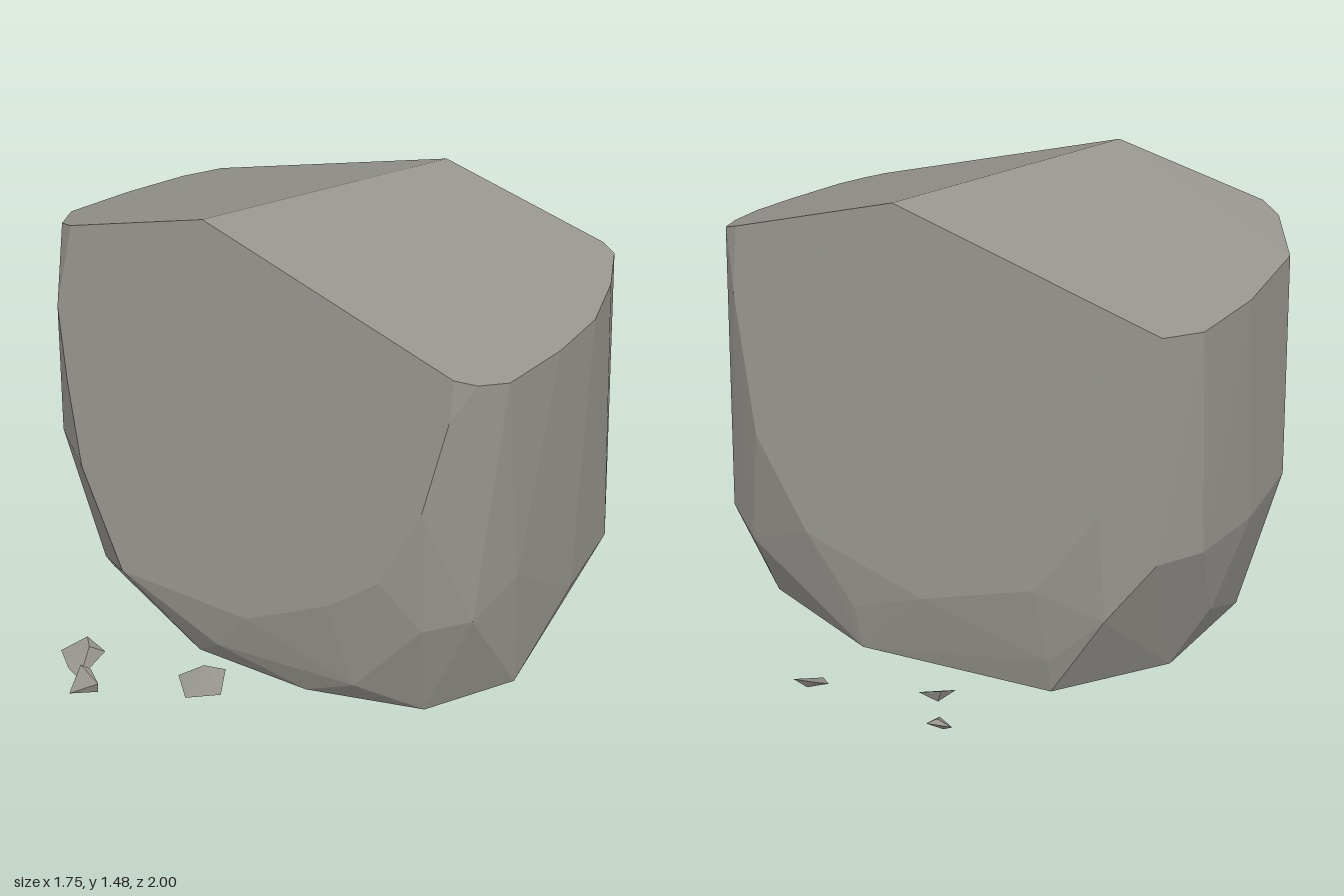
import * as THREE from 'three';
import { ConvexGeometry } from 'three/addons/geometries/ConvexGeometry.js';

// Cut planes of the boulder: two sloping tops meeting in a ridge, leaning front and back
const rightTop = ([x, z]) => [x, 1.471 - 0.299 * x - 0.118 * z, z];
const leftTop = ([x, z]) => [x, 1.478 + 0.268 * x + 0.128 * z, z];
const onFront = ([x, y]) => [x, y, 0.58 - (y - 0.25) * 0.142];
const onBack = ([x, y]) => [x, y, -0.585 + (y - 0.25) * 0.135];
const onGround = ([x, z]) => [x, 0, z];

// Convex solid with one flat normal per facet
function stone(name, points, material) {
  const geometry = new ConvexGeometry(points.map((p) => new THREE.Vector3(...p)));
  const mesh = new THREE.Mesh(geometry, material);
  mesh.name = name;
  return mesh;
}

export function createModel() {
  const model = new THREE.Group();
  model.name = 'boulderWithPebbles';
  const rock = new THREE.MeshStandardMaterial({ color: 0x96938d });
  rock.name = 'warmGreyRock';

  const boulder = [
    // ridge and top rims
    ...[[-0.19, 0.405], [0.17, -0.42]].map(rightTop),
    ...[[0.7, 0.443], [0.76, 0.41], [0.82, 0.33], [0.86, 0.1], [0.87, -0.1],
      [0.83, -0.28], [0.77, -0.42], [0.72, -0.44]].map(rightTop),
    ...[[-0.68, 0.423], [-0.75, 0.38], [-0.86, 0.2], [-0.855, -0.1], [-0.81, -0.34],
      [-0.73, -0.453]].map(leftTop),
    // broad front face
    ...[[0.7, 1.08], [0.64, 0.78], [0.52, 0.52], [0.35, 0.39], [0.06, 0.25],
      [-0.42, 0.26], [-0.6, 0.57], [-0.67, 0.84], [-0.72, 1.08]].map(onFront),
    // broad back face
    ...[[0.72, 1.1], [0.62, 0.65], [0.42, 0.37], [0, 0.25], [-0.38, 0.37],
      [-0.58, 0.65], [-0.68, 1.02]].map(onBack),
    // flat underside
    ...[[0.6, 0.39], [0.23, 0.5], [-0.18, 0.5], [-0.72, 0.25], [-0.68, -0.2],
      [-0.42, -0.52], [0.23, -0.56], [0.67, -0.37]].map(onGround),
    // right side facets
    [0.8, 0.06, 0.18], [0.84, 0.27, -0.1], [0.81, 0.3, -0.4], [0.77, 0.4, 0.41],
    [0.64, 0.36, 0.49], [0.83, 0.5, 0.25], [0.68, 0.25, -0.49],
    // left side facets
    [-0.875, 0.54, 0.2], [-0.87, 0.5, -0.05], [-0.83, 0.5, -0.33], [-0.74, 0.5, -0.47],
    [-0.6, 0.3, -0.53], [-0.78, 0.59, 0.4], [-0.68, 0.1, 0.34], [-0.79, 0.2, -0.15],
    // lower front and back chips
    [0.42, 0.1, 0.52], [-0.06, 0.1, 0.565], [0.25, 0.15, -0.575], [-0.42, 0.12, -0.545],
  ];
  model.add(stone('boulder', boulder, rock));

  // Loose chips in front of and behind the boulder
  const pebbles = [
    [[-0.44, 0.12, 0.88], [-0.38, 0.16, 0.82], [-0.32, 0.12, 0.81], [-0.34, 0.07, 0.92],
      [-0.39, 0.09, 0.91], [-0.35, 0.15, 0.85]],
    [[-0.33, 0.13, 0.92], [-0.24, 0.11, 0.95], [-0.25, 0.07, 0.94], [-0.32, 0.07, 0.995],
      [-0.3, 0.12, 0.91]],
    [[-0.05, 0.12, 0.79], [0.02, 0.16, 0.75], [0.08, 0.15, 0.72], [0.095, 0.09, 0.77],
      [0, 0.075, 0.825], [0.05, 0.07, 0.76]],
    [[-0.32, 0.1, -0.97], [-0.25, 0.11, -1.0], [-0.245, 0.08, -0.91], [-0.28, 0.07, -0.95],
      [-0.27, 0.115, -0.97]],
    [[-0.24, 0.11, -0.8], [-0.22, 0.13, -0.855], [-0.13, 0.09, -0.835], [-0.19, 0.07, -0.8],
      [-0.2, 0.08, -0.84]],
    [[0.135, 0.09, -0.92], [0.16, 0.11, -0.96], [0.235, 0.1, -0.96], [0.185, 0.07, -0.87],
      [0.2, 0.07, -0.94]],
  ];
  pebbles.forEach((points, i) => model.add(stone(`pebble${i + 1}`, points, rock)));
  return model;
}
